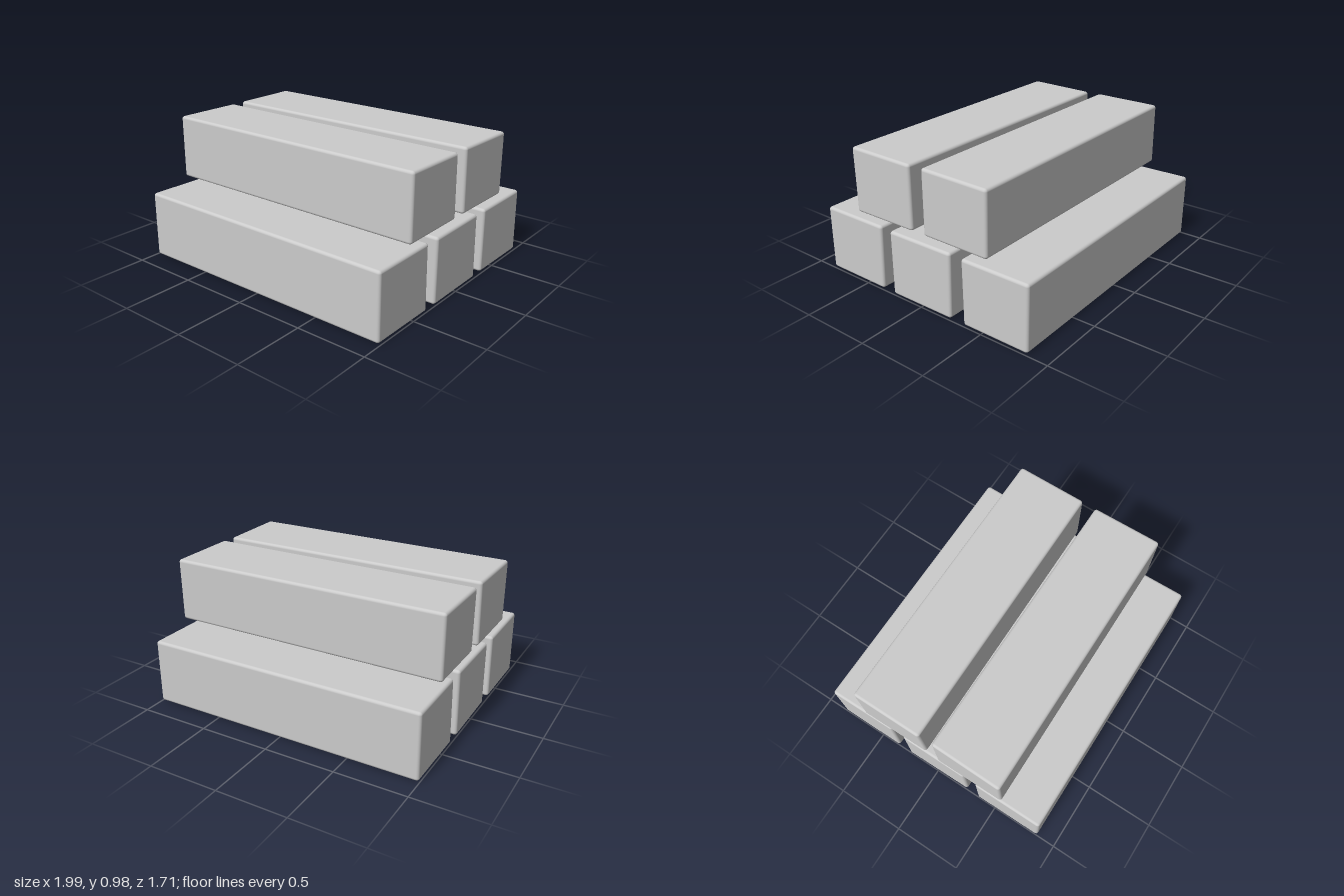
import * as THREE from 'three';
import { RoundedBoxGeometry } from 'three/addons/geometries/RoundedBoxGeometry.js';

const LENGTH = 1.995, WIDTH = 0.515;

// Small seeded generator for the hand-hewn irregularity
function seeded(seed) {
  let s = seed;
  return () => (s = (s * 16807) % 2147483647) / 2147483647;
}

// Squared timber with softened edges and slightly worn corners
function beamGeometry(height, seed) {
  const geometry = new RoundedBoxGeometry(LENGTH, height, WIDTH, 3, 0.02);
  const random = seeded(seed * 7919 + 13);
  const wear = Array.from({ length: 8 }, () =>
    new THREE.Vector3(random(), random(), random()).multiplyScalar(0.008));
  const p = geometry.attributes.position;
  for (let i = 0; i < p.count; i++) {
    const x = p.getX(i), y = p.getY(i), z = p.getZ(i);
    const w = wear[(x > 0 ? 1 : 0) + (y > 0 ? 2 : 0) + (z > 0 ? 4 : 0)];
    p.setXYZ(i, x - Math.sign(x) * w.x, y - Math.sign(y) * w.y, z - Math.sign(z) * w.z);
  }
  return geometry;
}

export function createModel() {
  const model = new THREE.Group();
  model.name = 'beamStack';
  const material = new THREE.MeshStandardMaterial({ color: 0xcccccc });

  // Three beams below, two resting above the gaps
  const rows = [
    { name: 'lowerBeam', bottom: 0.004, top: 0.48, z: [0.6, 0, -0.6] },
    { name: 'upperBeam', bottom: 0.524, top: 0.982, z: [0.3, -0.3] },
  ];
  let seed = 1;
  for (const row of rows) {
    row.z.forEach((z, i) => {
      const beam = new THREE.Mesh(beamGeometry(row.top - row.bottom, seed++), material);
      beam.name = row.name + (i + 1);
      beam.position.set(0, (row.top + row.bottom) / 2, z);
      model.add(beam);
    });
  }
  return model;
}
